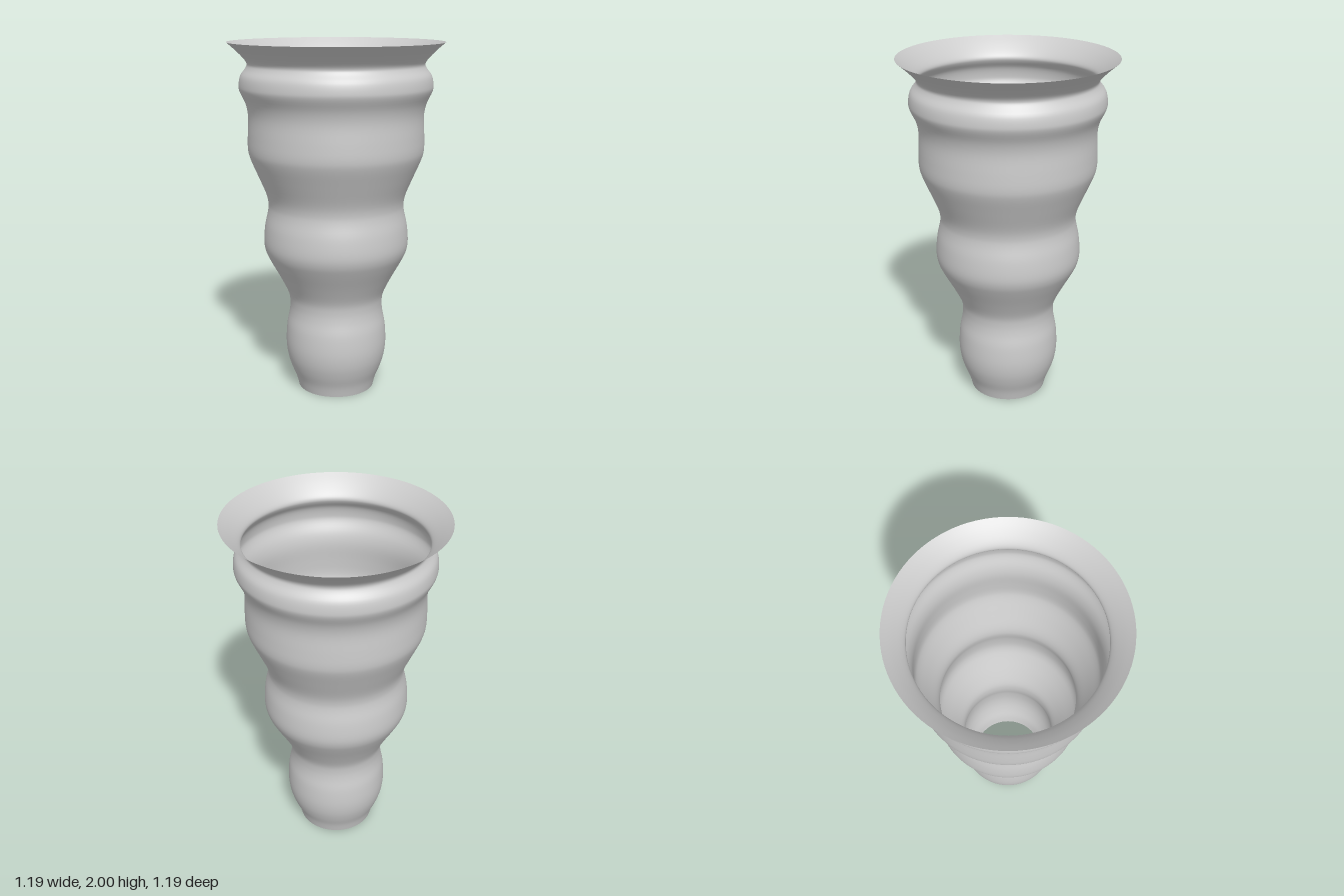
import * as THREE from 'three';

// Outer silhouette as [radius, height], from the foot to the flared lip
const PROFILE = [
  [0.22, 0], [0.236, 0.06], [0.264, 0.13], [0.284, 0.2], [0.292, 0.28], [0.286, 0.38],
  [0.271, 0.46], [0.267, 0.52], [0.277, 0.58], [0.32, 0.67], [0.375, 0.77], [0.403, 0.83],
  [0.412, 0.89], [0.404, 0.98], [0.387, 1.06], [0.384, 1.11], [0.398, 1.17], [0.44, 1.27],
  [0.48, 1.365], [0.492, 1.42], [0.491, 1.5], [0.487, 1.6], [0.5, 1.67], [0.53, 1.735],
  [0.535, 1.77], [0.525, 1.82], [0.497, 1.86], [0.489, 1.885], [0.507, 1.915], [0.551, 1.96],
  [0.597, 2],
];

export function createModel() {
  const group = new THREE.Group();
  group.name = 'vase';

  // Thin open shell, swept smoothly around the vertical axis
  const curve = new THREE.SplineCurve(PROFILE.map(([r, y]) => new THREE.Vector2(r, y)));
  const shell = new THREE.Mesh(
    new THREE.LatheGeometry(curve.getPoints(120), 96),
    new THREE.MeshStandardMaterial({ color: 0xcccccc, side: THREE.DoubleSide })
  );
  shell.name = 'shell';
  group.add(shell);

  return group;
}
